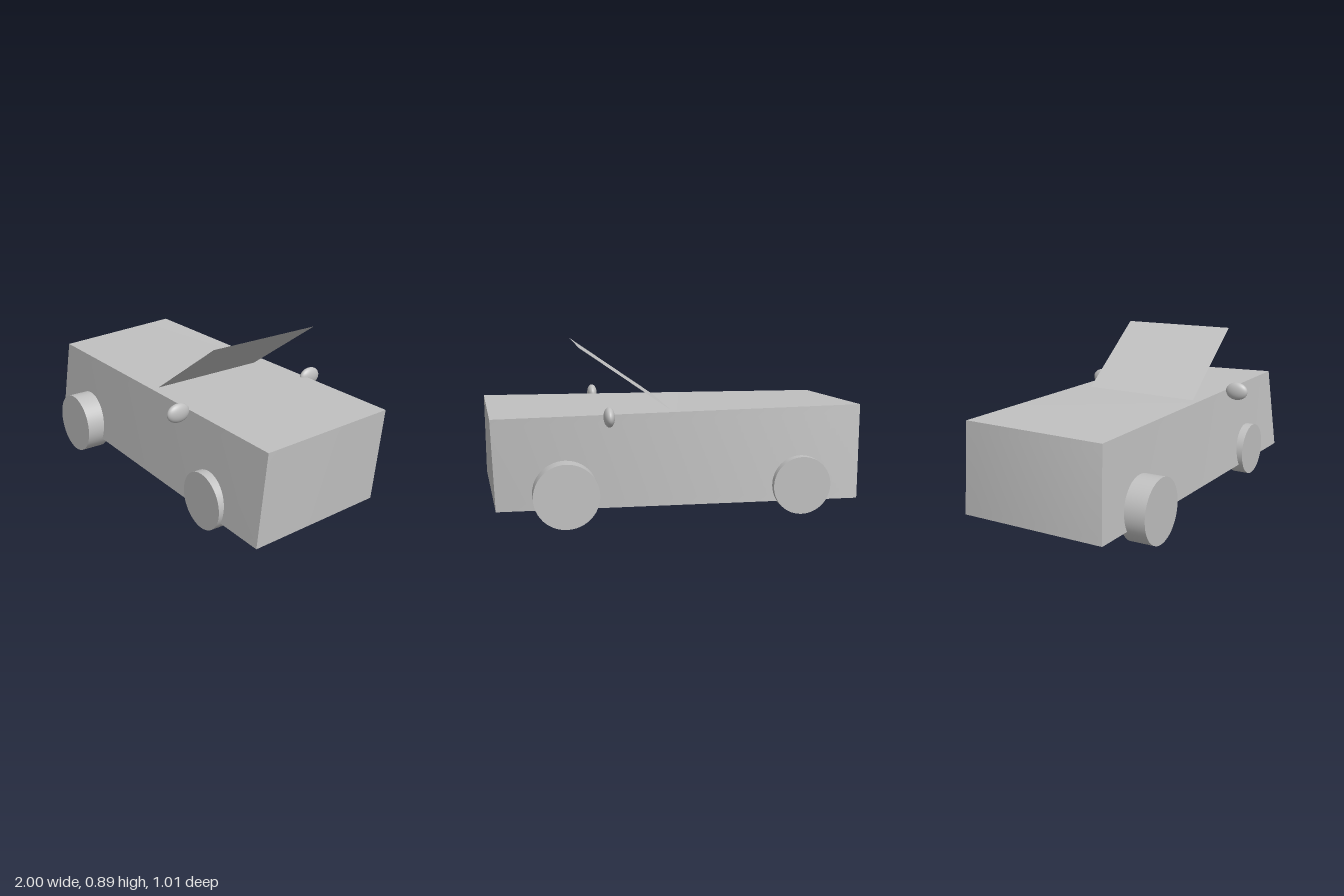
import * as THREE from 'three';

export function createModel() {
  const model = new THREE.Group();
  model.name = 'car';
  const grey = new THREE.MeshStandardMaterial({ color: 0xc0c0c0, side: THREE.DoubleSide });
  grey.name = 'plain grey';

  const add = (name, geometry, x = 0, y = 0, z = 0) => {
    const mesh = new THREE.Mesh(geometry, grey);
    mesh.name = name;
    mesh.position.set(x, y, z);
    model.add(mesh);
    return mesh;
  };

  // Body: a box whose eight corners are pulled out of square.
  // Corner order: bottom back, bottom front, top back, top front, right end then left end.
  const corners = [
    [-0.945, 0.085, -0.46], [-1, 0.095, 0.365], [-0.97, 0.58, -0.405], [-0.94, 0.555, 0.335],
    [0.94, 0.075, -0.36], [1, 0.1, 0.457], [0.955, 0.557, -0.405], [1, 0.565, 0.4],
  ].map((c) => new THREE.Vector3(...c));
  const body = new THREE.BoxGeometry(1, 1, 1, 12, 12, 12);
  const pos = body.attributes.position;
  for (let i = 0; i < pos.count; i++) {
    const t = [pos.getX(i) + 0.5, pos.getY(i) + 0.5, pos.getZ(i) + 0.5];
    const p = new THREE.Vector3();
    corners.forEach((c, k) => {
      const wx = k & 4 ? t[0] : 1 - t[0];
      const wy = k & 2 ? t[1] : 1 - t[1];
      const wz = k & 1 ? t[2] : 1 - t[2];
      p.addScaledVector(c, wx * wy * wz);
    });
    pos.setXYZ(i, p.x, p.y, p.z);
  }
  body.computeVertexNormals();
  add('body', body);

  // Wheels: slightly different sizes and toe angles.
  const wheel = (name, x, z, radius, width, toe) => {
    const geometry = new THREE.CylinderGeometry(radius, radius, width, 48).rotateX(Math.PI / 2);
    add(name, geometry, x, 0.168, z).rotation.y = toe;
  };
  wheel('frontSideRearWheel', -0.64, 0.415, 0.167, 0.13, -0.015);
  wheel('frontSideForeWheel', 0.585, 0.416, 0.148, 0.09, -0.025);
  wheel('backSideForeWheel', 0.59, -0.418, 0.167, 0.134, 0);
  wheel('backSideRearWheel', -0.64, -0.42, 0.153, 0.1, -0.03);

  // Side mirrors
  for (const side of [-1, 1]) {
    const geometry = new THREE.SphereGeometry(1, 32, 20).scale(0.028, 0.05, 0.065);
    add(side > 0 ? 'frontSideMirror' : 'backSideMirror', geometry, 0.369, 0.557, side * 0.44);
  }

  // Windscreen: a thin sheet leaning towards +x
  const screen = new THREE.PlaneGeometry(0.61, 0.65).rotateX(-Math.PI / 2).rotateZ(0.61);
  add('windscreen', screen, 0.255, 0.72, 0);

  return model;
}
